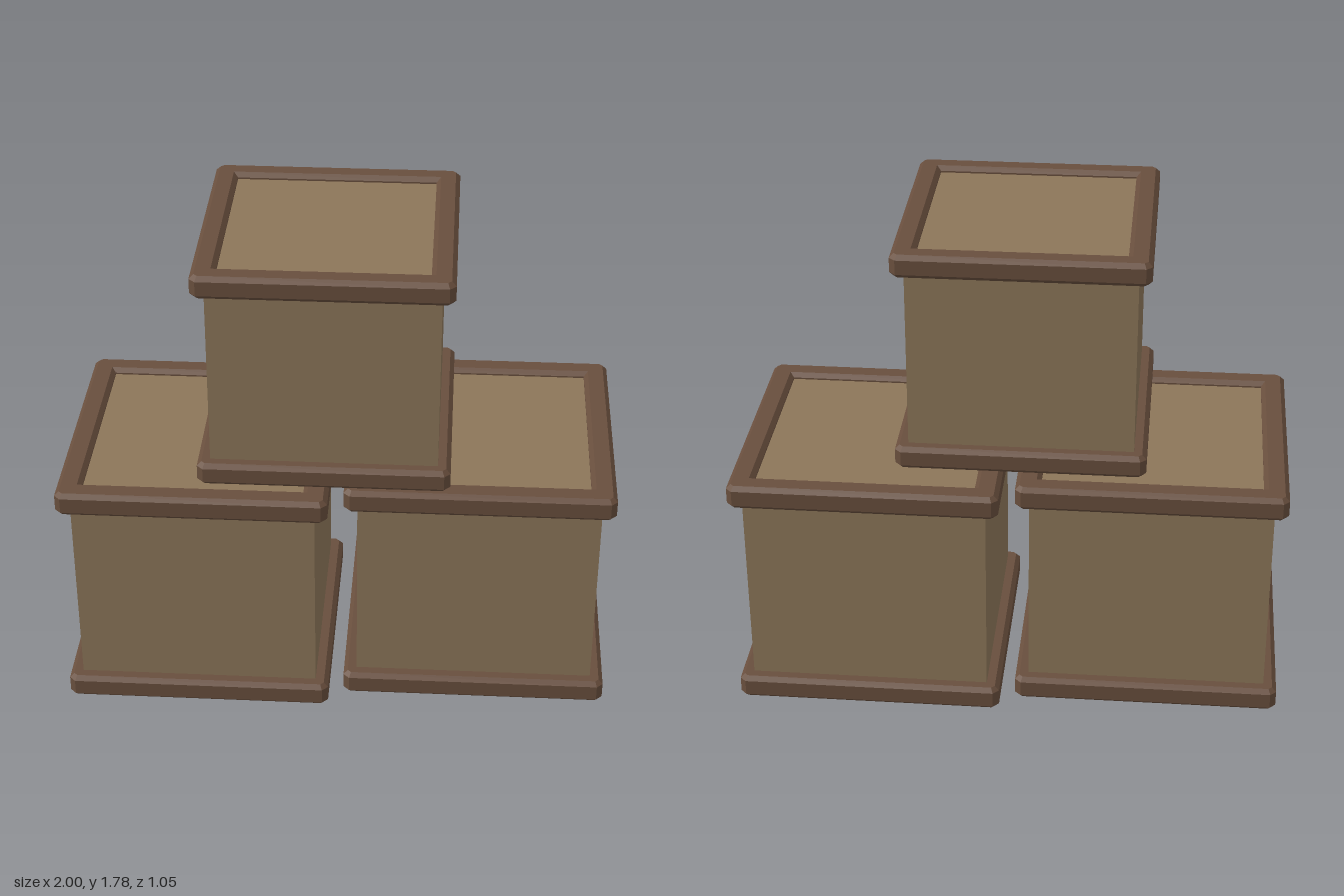
import * as THREE from 'three';

const wood = new THREE.MeshStandardMaterial({ color: 0x8c7659 });
wood.name = 'panelWood';
const darkWood = new THREE.MeshStandardMaterial({ color: 0x684e3d });
darkWood.name = 'trimWood';

const BEVEL = 0.016;

// Square outline with small cut corners
function outline(path, half, cut) {
  const a = half, b = half - cut;
  path.moveTo(-b, -a);
  [[b, -a], [a, -b], [a, b], [b, a], [-b, a], [-a, b], [-a, -b]].forEach(([x, y]) => path.lineTo(x, y));
  path.closePath();
  return path;
}

// Bevelled square frame lying flat, centred on its own origin
function frameGeometry(size, bar) {
  const shape = outline(new THREE.Shape(), size / 2, 0.022);
  const h = size / 2 - bar;
  const hole = new THREE.Path();
  hole.moveTo(-h, -h);
  hole.lineTo(-h, h);
  hole.lineTo(h, h);
  hole.lineTo(h, -h);
  hole.closePath();
  shape.holes.push(hole);
  const geometry = new THREE.ExtrudeGeometry(shape, {
    depth: bar - 2 * BEVEL,
    bevelEnabled: true,
    bevelSize: BEVEL,
    bevelThickness: BEVEL,
    bevelOffset: -BEVEL,
    bevelSegments: 1,
  });
  geometry.center();
  geometry.rotateX(-Math.PI / 2);
  return geometry;
}

// One crate: plain box with a heavy trim frame at the bottom and top
function crate(name, size, height, bar) {
  const group = new THREE.Group();
  group.name = name;

  const recess = 0.022;
  const bodySize = size - bar * 1.07;
  const body = new THREE.Mesh(new THREE.BoxGeometry(bodySize, height - 2 * recess, bodySize), wood);
  body.name = 'crateBody';
  body.position.y = height / 2;
  group.add(body);

  const geometry = frameGeometry(size, bar);
  [['bottomTrim', bar / 2], ['topTrim', height - bar / 2]].forEach(([trimName, y]) => {
    const trim = new THREE.Mesh(geometry, darkWood);
    trim.name = trimName;
    trim.position.y = y;
    group.add(trim);
  });
  return group;
}

export function createModel() {
  const model = new THREE.Group();
  model.name = 'crateStack';

  const crates = [
    ['rightCrate', 0.973, 0.914, 0.09, -0.513, 0, 0.038],
    ['leftCrate', 0.973, 0.914, 0.09, 0.513, 0, -0.042],
    ['upperCrate', 0.895, 0.83, 0.085, -0.042, 0.952, 0.038],
  ];
  for (const [name, size, height, bar, x, y, z] of crates) {
    const c = crate(name, size, height, bar);
    c.position.set(x, y, z);
    model.add(c);
  }
  return model;
}
